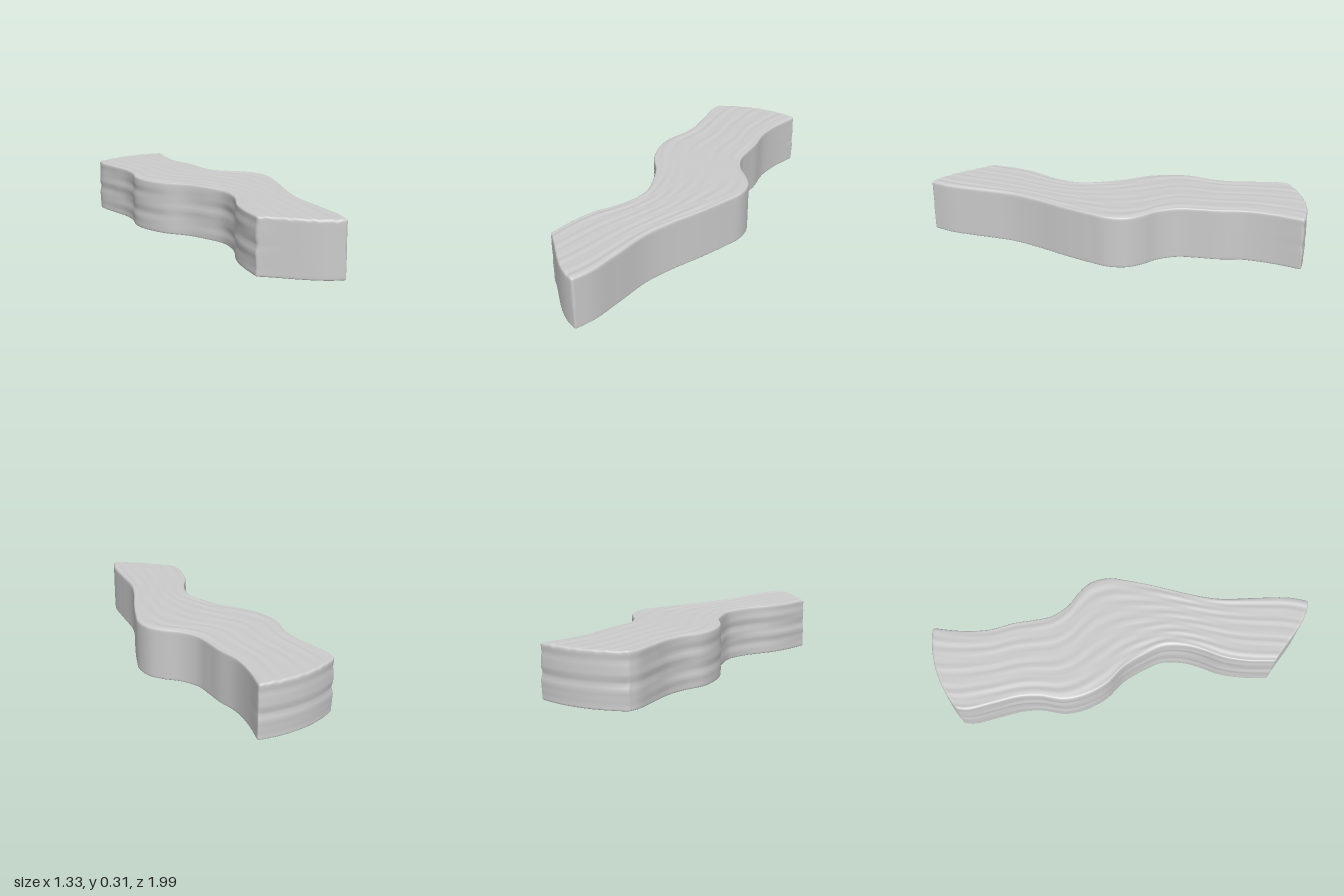
import * as THREE from 'three';
import { mergeVertices } from 'three/addons/utils/BufferGeometryUtils.js';

// Plan-view edges as x, z pairs, running from the back end to the front end
const spline = (c) => {
  const pts = [];
  for (let i = 0; i < c.length; i += 2) pts.push(new THREE.Vector3(c[i], 0, c[i + 1]));
  return new THREE.CatmullRomCurve3(pts, false, 'centripetal');
};
const rightEdge = spline([
  -0.668, -0.67, -0.65, -0.61, -0.565, -0.49, -0.48, -0.37, -0.435, -0.265, -0.405, -0.13,
  -0.34, -0.03, -0.235, 0.06, -0.1, 0.12, 0, 0.195, 0.095, 0.29, 0.14, 0.41,
  0.15, 0.5, 0.15, 0.635, 0.177, 0.767, 0.23, 0.915,
]);
const leftEdge = spline([
  -0.27, -1, -0.225, -0.83, -0.165, -0.69, -0.075, -0.57, -0.02, -0.475, 0.04, -0.385,
  0.135, -0.32, 0.24, -0.29, 0.32, -0.25, 0.385, -0.16, 0.41, -0.05, 0.437, 0.13,
  0.457, 0.32, 0.49, 0.49, 0.575, 0.7, 0.64, 0.865, 0.662, 0.985,
]);

const W = 0.45, H = 0.305, L = 2.1;

// Crowd the grid lines towards the ends so that the edges round off finely
const crowd = (s) => Math.sin(s * 1.4) / Math.sin(1.4);

function roundBox(p, r) {
  const h = new THREE.Vector3(W / 2 - r, H / 2 - r, L / 2 - r);
  const q = p.clone().clamp(h.clone().negate(), h);
  const d = p.clone().sub(q);
  return d.lengthSq() > 0 ? q.add(d.setLength(r)) : q;
}

// Bend a straight rounded block between the two edges and add wood grain
function bend(p) {
  const u = THREE.MathUtils.clamp(p.x / W + 0.5, 0, 1);
  const v = THREE.MathUtils.clamp(p.y / H + 0.5, 0, 1);
  const t = THREE.MathUtils.clamp(p.z / L + 0.5, 0, 1);
  const out = rightEdge.getPointAt(t).lerp(leftEdge.getPointAt(t), u);

  // bowed ends
  const back = 0.2 * u * (1 - u) * Math.pow(1 - t, 8);
  out.x -= 0.65 * back;
  out.z -= 0.76 * back;
  out.z += 0.18 * u * u * (1 - u) * Math.pow(t, 10);

  // grain on the top, along the flow of the plank
  const top = 0.0016 * Math.sin(38 * u - 9 * t + 2 * Math.sin(6 * t))
    + 0.0013 * Math.sin(61 * u + 7 * t + 1.5 * Math.sin(9 * t));
  out.y = v * H + 0.002 + top * THREE.MathUtils.smoothstep(v, 0.8, 1);

  // grain on the right side and the back end
  const side = 0.0035 * Math.sin(17 * v + 5 * t) + 0.002 * Math.sin(31 * v - 8 * t);
  const fade = Math.sin(Math.PI * v);
  out.x += side * fade * Math.pow(1 - u, 6);
  out.z += side * fade * Math.pow(1 - t, 30);
  return out;
}

export function createModel() {
  const group = new THREE.Group();
  group.name = 'wavyPlank';

  let geometry = new THREE.BoxGeometry(2, 2, 2, 40, 24, 160);
  geometry.deleteAttribute('uv');
  geometry.deleteAttribute('normal');
  geometry = mergeVertices(geometry, 1e-5);

  const pos = geometry.attributes.position;
  for (let i = 0; i < pos.count; i++) {
    const p = new THREE.Vector3(
      crowd(pos.getX(i)) * W / 2, crowd(pos.getY(i)) * H / 2, crowd(pos.getZ(i)) * L / 2);
    const radius = p.y < 0 ? 0.008 : 0.014;
    const b = bend(roundBox(p, radius));
    pos.setXYZ(i, b.x, b.y, b.z);
  }
  geometry.computeVertexNormals();

  const plank = new THREE.Mesh(geometry, new THREE.MeshStandardMaterial({ color: 0xcccccc }));
  plank.name = 'plank';
  group.add(plank);
  return group;
}
